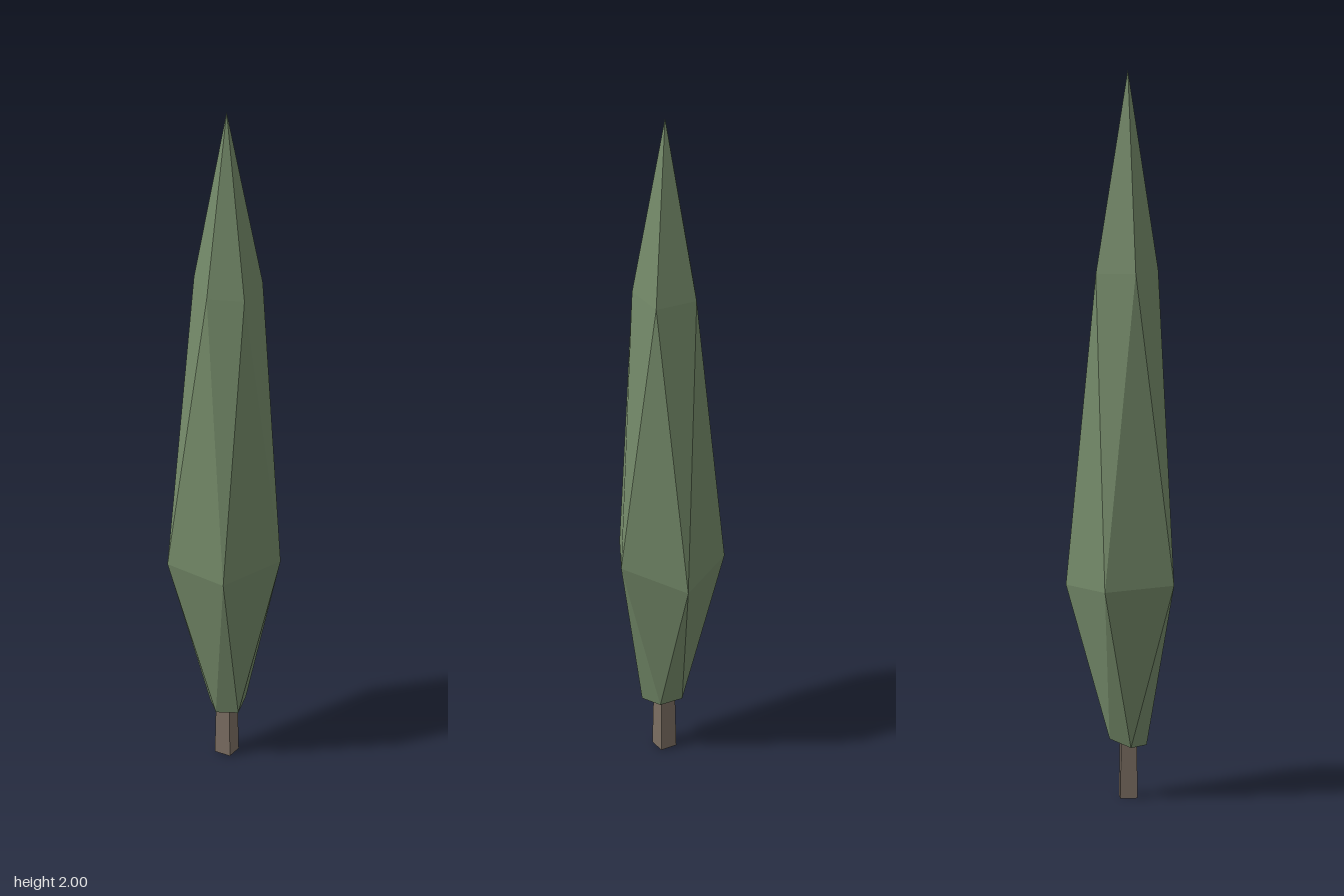
import * as THREE from 'three';

// Crown cross-sections as [x, y, z], ordered around the y axis.
// Each ring is turned half a step from the one above it.
const apex = [0.013, 2, 0.007];
const upper = [[0.113, 1.45, 0.007], [0.041, 1.45, 0.091], [-0.054, 1.45, 0.054], [-0.063, 1.46, -0.05], [0.045, 1.45, -0.088]];
const widest = [[0.148, 0.58, -0.09], [0.139, 0.625, 0.097], [-0.031, 0.6, 0.143], [-0.15, 0.605, 0.006], [-0.035, 0.595, -0.145]];
const lower = [[0.066, 0.157, 0.007], [0.03, 0.147, 0.066], [-0.025, 0.142, 0.04], [-0.025, 0.145, -0.025], [0.033, 0.165, -0.045]];
const base = [0.013, 0.15, 0.007];

function crownGeometry() {
  const p = [];
  const tri = (a, b, c) => p.push(...a, ...b, ...c);
  for (let i = 0; i < 5; i++) {
    const j = (i + 1) % 5;
    tri(apex, upper[j], upper[i]); // pointed tip
    tri(upper[i], widest[j], widest[i]); // long upper facets
    tri(upper[i], upper[j], widest[j]);
    tri(widest[i], widest[j], lower[i]); // tapering underside
    tri(widest[j], lower[j], lower[i]);
    tri(base, lower[i], lower[j]); // bottom cap
  }
  const g = new THREE.BufferGeometry();
  g.setAttribute('position', new THREE.Float32BufferAttribute(p, 3));
  g.computeVertexNormals();
  return g;
}

export function createModel() {
  const foliage = new THREE.MeshStandardMaterial({ color: 0x748a69, flatShading: true });
  foliage.name = 'foliage green';
  const bark = new THREE.MeshStandardMaterial({ color: 0x7b6e62, flatShading: true });
  bark.name = 'bark brown';

  const tree = new THREE.Group();
  tree.name = 'cypressTree';

  const crown = new THREE.Mesh(crownGeometry(), foliage);
  crown.name = 'crown';

  // Square trunk with its corners facing front and sides
  const trunk = new THREE.Mesh(new THREE.CylinderGeometry(0.029, 0.033, 0.18, 4), bark);
  trunk.name = 'trunk';
  trunk.position.set(0.013, 0.09, 0.009);

  tree.add(crown, trunk);
  return tree;
}
